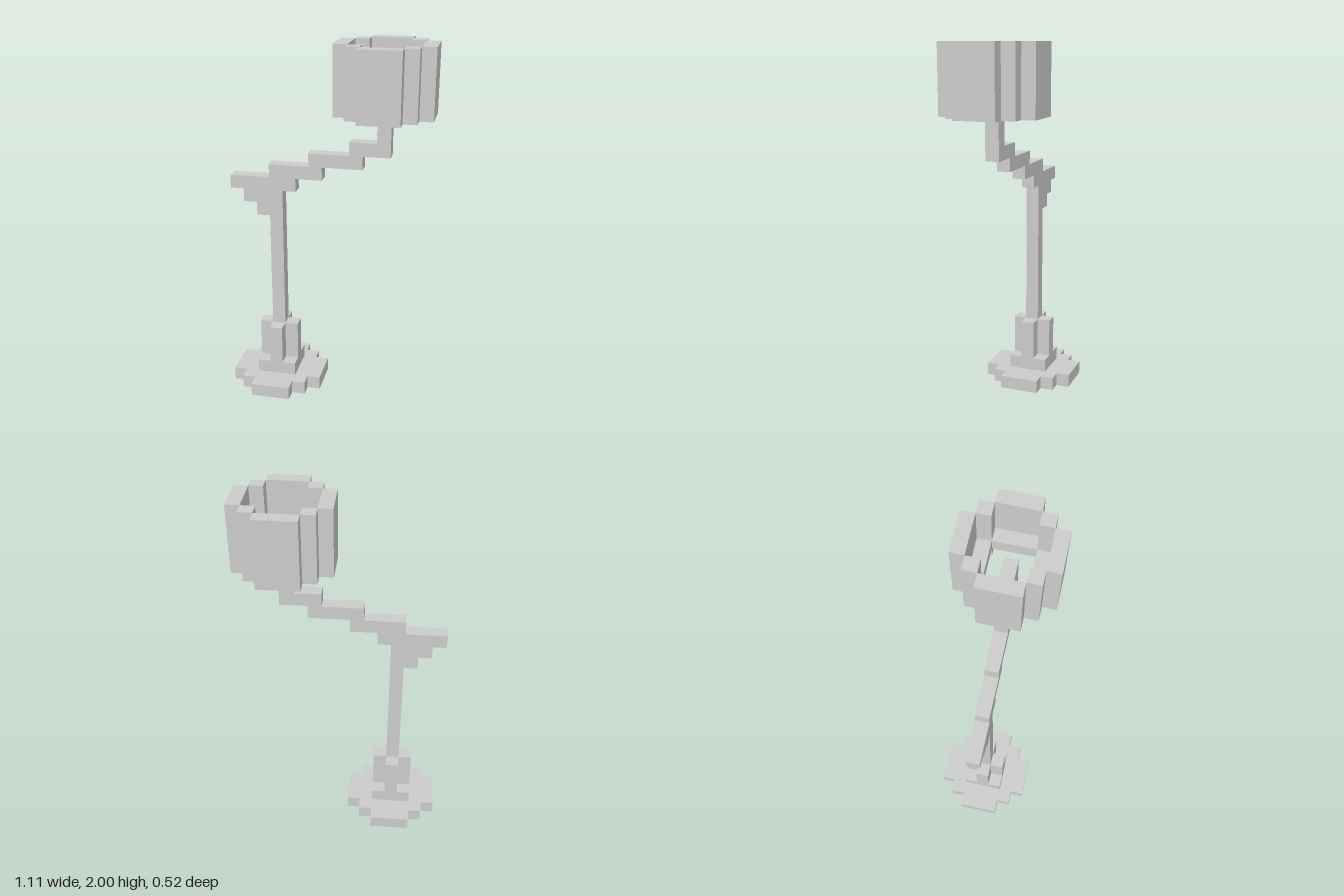
import * as THREE from 'three';

const U = 2 / 27; // one block

// Pixel-stepped disc outline, 7 blocks across (one quadrant turned four times)
function discPoints() {
  const quadrant = [[3.5, -1.5], [3.5, 1.5], [2.5, 1.5], [2.5, 2.5], [1.5, 2.5]];
  const pts = [];
  for (let q = 0; q < 4; q++) {
    for (const [x, y] of quadrant) {
      const v = [[x, y], [-y, x], [-x, -y], [y, -x]][q];
      pts.push(new THREE.Vector2(v[0], v[1]));
    }
  }
  return pts;
}

const outline = (list) => list.map(([x, y]) => new THREE.Vector2(x, y));

const square = (r) => outline([[-r, -r], [r, -r], [r, r], [-r, r]]);

// Plus outline, 3 blocks across
const plus = () => outline([
  [1.5, -0.5], [1.5, 0.5], [0.5, 0.5], [0.5, 1.5], [-0.5, 1.5], [-0.5, 0.5],
  [-1.5, 0.5], [-1.5, -0.5], [-0.5, -0.5], [-0.5, -1.5], [0.5, -1.5], [0.5, -0.5],
]);

export function createModel() {
  const group = new THREE.Group();
  const material = new THREE.MeshStandardMaterial({ color: 0xcccccc, flatShading: true });

  const add = (name, geometry) => {
    const mesh = new THREE.Mesh(geometry, material);
    mesh.name = name;
    group.add(mesh);
  };

  // Horizontal slab from a plan outline, between two block heights
  const slab = (name, points, centerX, y0, y1, hole) => {
    const shape = new THREE.Shape(points);
    if (hole) shape.holes.push(new THREE.Path(hole));
    const g = new THREE.ExtrudeGeometry(shape, { depth: y1 - y0, bevelEnabled: false });
    g.rotateX(-Math.PI / 2).translate(centerX, y0, 0).scale(U, U, U);
    add(name, g);
  };

  // Foot
  slab('base', discPoints(), -4, 0, 1);
  slab('basePlate', square(1.5), -4, 1, 2);
  slab('poleSocket', plus(), -4, 2, 5);

  // Pole, counterweight and stepped arm share one side outline
  const side = outline([
    [3, 5], [4, 5], [4, 16], [5, 16], [5, 17], [7, 17], [7, 18], [10, 18],
    [10, 19], [12, 19], [12, 24], [11, 24], [11, 20], [9, 20], [9, 19],
    [6, 19], [6, 18], [3, 18], [3, 17], [0, 17], [0, 16], [1, 16], [1, 15],
    [2, 15], [2, 14], [3, 14],
  ]);
  const arm = new THREE.ExtrudeGeometry(new THREE.Shape(side), { depth: 1, bevelEnabled: false });
  arm.translate(-7.5, 0, -0.5).scale(U, U, U);
  add('poleAndArm', arm);

  // Shade: hollow stepped wall one block thick
  const inner = outline([
    [2.5, -1.5], [2.5, 1.5], [1.5, 1.5], [1.5, 2.5], [-1.5, 2.5], [-1.5, 1.5],
    [-2.5, 1.5], [-2.5, -1.5], [-1.5, -1.5], [-1.5, -2.5], [1.5, -2.5], [1.5, -1.5],
  ]);
  slab('shadeWall', discPoints(), 4, 22, 27, inner);

  // Ring inside the shade and the strut that carries it
  slab('shadeInnerRing', inner.map((p) => p.clone()), 4, 23, 24, square(1.5));
  slab('shadeStrut', square(0.5), 3, 23, 24);

  return group;
}
